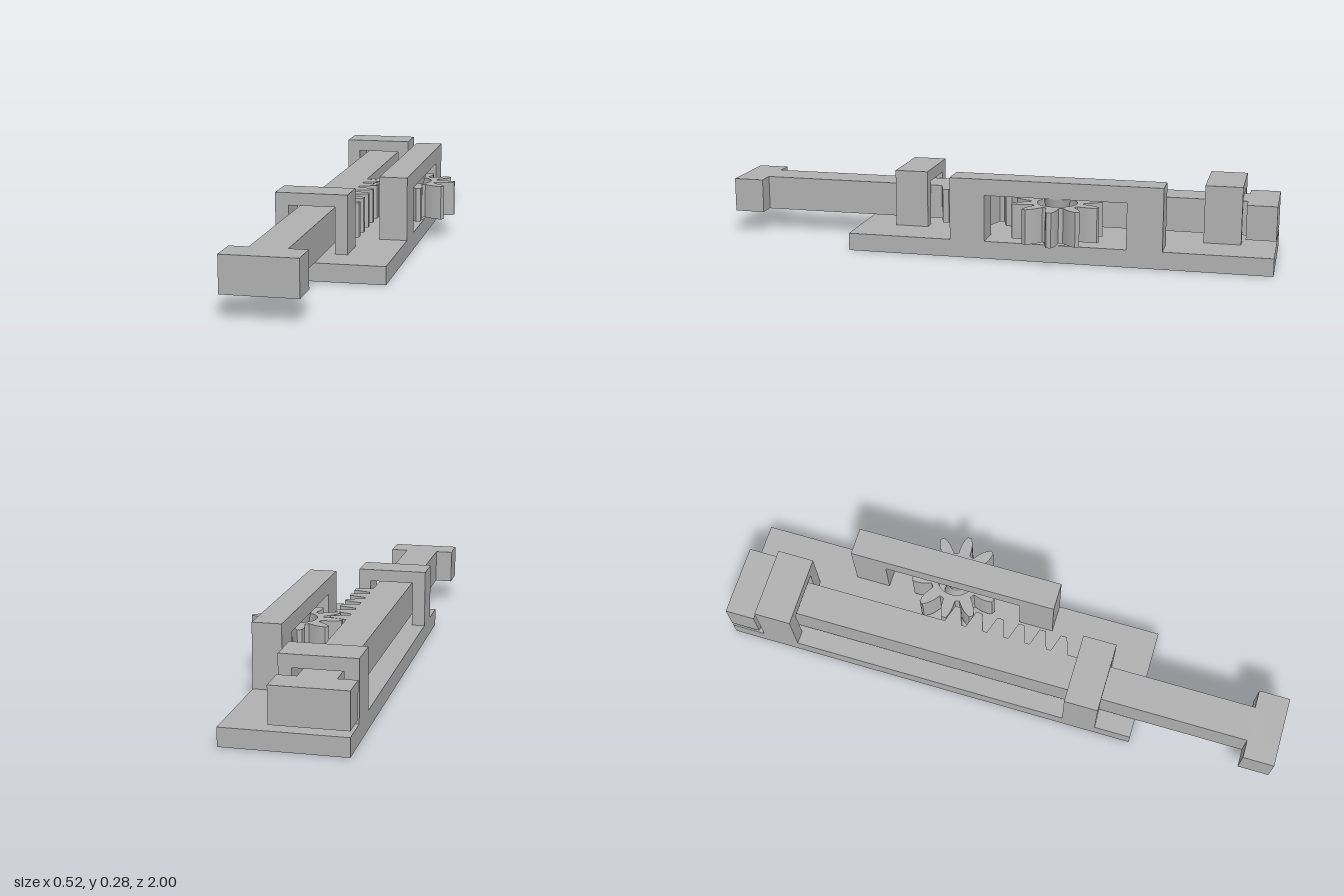
import * as THREE from 'three';
import { toCreasedNormals } from 'three/addons/utils/BufferGeometryUtils.js';

const grey = new THREE.MeshStandardMaterial({ color: 0xb0b0b0 });
grey.name = 'grey';

const GEAR = { x: 0.098, z: -0.25, teeth: 10 };
const PITCH = 0.0785;
const LOW = 0.082, HIGH = 0.205; // bottom and top of rack and gear

function add(group, name, geometry) {
  const mesh = new THREE.Mesh(geometry, grey);
  mesh.name = name;
  group.add(mesh);
  return mesh;
}

function block(group, name, [x0, x1], [y0, y1], [z0, z1]) {
  const g = new THREE.BoxGeometry(x1 - x0, y1 - y0, z1 - z0);
  g.translate((x0 + x1) / 2, (y0 + y1) / 2, (z0 + z1) / 2);
  return add(group, name, g);
}

// Extrude a plan outline, given as (x, -z), upwards between two heights
function plate(shape, y0, y1) {
  const g = new THREE.ExtrudeGeometry(shape, { depth: y1 - y0, bevelEnabled: false, curveSegments: 24 });
  return g.rotateX(-Math.PI / 2).translate(0, y0, 0);
}

// An upside-down U: two legs joined by a beam
function archShape(a0, a1, in0, in1, y0, yIn, y1) {
  return new THREE.Shape([
    [a0, y0], [in0, y0], [in0, yIn], [in1, yIn], [in1, y0], [a1, y0], [a1, y1], [a0, y1],
  ].map(([a, y]) => new THREE.Vector2(a, y)));
}

// Sliding bar with a head at both ends and teeth along one side
function rackGeometry() {
  const pts = [[-0.26, 1], [-0.01, 1], [-0.01, 0.89], [-0.073, 0.89]];
  for (let i = 5; i >= 0; i--) {
    const z = GEAR.z + PITCH * (i + 0.5);
    pts.push([-0.073, z + 0.031], [-0.01, z + 0.011], [-0.01, z - 0.011], [-0.073, z - 0.031]);
  }
  pts.push([-0.073, -0.895], [-0.01, -0.895], [-0.01, -1], [-0.26, -1]);
  pts.push([-0.26, -0.895], [-0.197, -0.895], [-0.197, 0.89], [-0.26, 0.89]);
  return plate(new THREE.Shape(pts.map(([x, z]) => new THREE.Vector2(x, -z))), LOW, HIGH);
}

// Pinion with curved tooth flanks and a round bore
function gearGeometry() {
  const flank = [[0.093, 0.23], [0.103, 0.205], [0.115, 0.18], [0.128, 0.15], [0.142, 0.11], [0.159, 0.052]];
  const pts = [];
  const put = (r, a) => pts.push(new THREE.Vector2(r * Math.cos(a), r * Math.sin(a)));
  for (let i = 0; i < GEAR.teeth; i++) {
    const a = (i / GEAR.teeth) * Math.PI * 2;
    flank.forEach(([r, w]) => put(r, a - w));
    put(0.16, a);
    [...flank].reverse().forEach(([r, w]) => put(r, a + w));
  }
  const shape = new THREE.Shape(pts);
  shape.holes.push(new THREE.Path().absarc(0, 0, 0.07, 0, Math.PI * 2, true));
  return toCreasedNormals(plate(shape, LOW, HIGH), 0.5);
}

export function createModel() {
  const model = new THREE.Group();
  model.name = 'rackAndPinion';

  block(model, 'basePlate', [-0.26, 0.147], [0, 0.0625], [-1, 0.5]);
  add(model, 'slidingRack', rackGeometry());

  // Guides that hold the rack
  for (const [name, z0, z1] of [['frontGuide', 0.25, 0.37], ['rearGuide', -0.88, -0.75]]) {
    const arch = archShape(-0.26, -0.01, -0.213, -0.053, 0.0625, 0.224, 0.267);
    const g = new THREE.ExtrudeGeometry(arch, { depth: z1 - z0, bevelEnabled: false });
    add(model, name, g.translate(0, 0, z0));
  }

  // Bridge over the gear, drawn along -z and turned to face sideways
  const bridge = archShape(-0.125, 0.625, 0, 0.5, 0.0625, 0.227, 0.285);
  const bridgeGeo = new THREE.ExtrudeGeometry(bridge, { depth: 0.099, bevelEnabled: false });
  add(model, 'gearBridge', bridgeGeo.rotateY(Math.PI / 2).translate(0.048, 0, 0));

  const gear = add(model, 'gear', gearGeometry());
  gear.position.set(GEAR.x, 0, GEAR.z);

  // Tapered pins from bridge and base that carry the gear
  const pins = [['upperPin', 0.05, 0.03, 0.144, 0.227], ['lowerPin', 0.03, 0.05, 0.0625, 0.144]];
  for (const [name, rTop, rBottom, y0, y1] of pins) {
    const pin = add(model, name, new THREE.CylinderGeometry(rTop, rBottom, y1 - y0, 32));
    pin.position.set(GEAR.x, (y0 + y1) / 2, GEAR.z);
  }
  return model;
}
